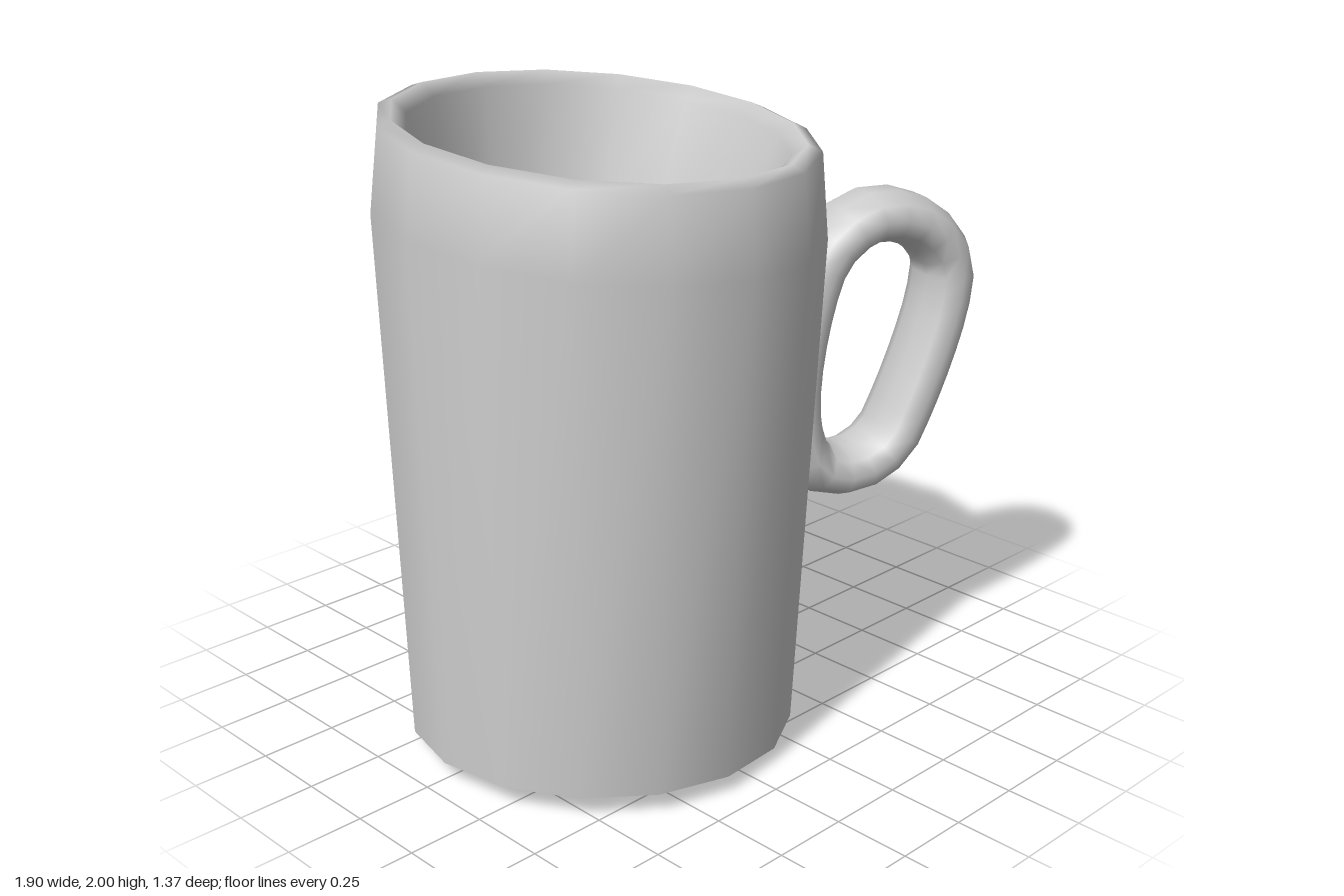
import * as THREE from 'three';

const SIDES = 16;
const PHASE = 0.066;
const grey = () => new THREE.MeshStandardMaterial({ color: 0xcccccc });

// A tilted ring: centre, radius, and height change along x and z
const ring = (x, y, z, r, slopeX, slopeZ) => ({ x, y, z, r, slopeX, slopeZ });

function ringPoints(s) {
  const points = [];
  for (let i = 0; i < SIDES; i++) {
    const a = PHASE + (i / SIDES) * Math.PI * 2;
    const dx = s.r * Math.cos(a);
    const dz = s.r * Math.sin(a);
    points.push(s.x + dx, s.y + dx * s.slopeX + dz * s.slopeZ, s.z + dz);
  }
  return points;
}

function makeMesh(name, positions, index, material) {
  const geometry = new THREE.BufferGeometry();
  geometry.setAttribute('position', new THREE.Float32BufferAttribute(positions, 3));
  geometry.setIndex(index);
  geometry.computeVertexNormals();
  const mesh = new THREE.Mesh(geometry, material);
  mesh.name = name;
  return mesh;
}

// Skin joining successive rings
function loft(name, rings, material) {
  const index = [];
  for (let k = 0; k < rings.length - 1; k++) {
    for (let i = 0; i < SIDES; i++) {
      const j = (i + 1) % SIDES;
      const a = k * SIDES + i, b = k * SIDES + j;
      const c = a + SIDES, d = b + SIDES;
      index.push(a, c, b, b, c, d);
    }
  }
  return makeMesh(name, rings.flatMap(ringPoints), index, material);
}

// Flat disc filling one ring
function disc(name, s, facesUp, material) {
  const index = [];
  for (let i = 0; i < SIDES; i++) {
    const j = (i + 1) % SIDES;
    index.push(SIDES, facesUp ? j : i, facesUp ? i : j);
  }
  return makeMesh(name, [...ringPoints(s), s.x, s.y, s.z], index, material);
}

// Closed loop grip with an oval section, swung towards the front
function makeHandle() {
  const path = [
    [0.34, 0.95], [0.375, 1.3], [0.445, 1.48], [0.59, 1.568], [0.745, 1.53],
    [0.845, 1.41], [0.845, 1.27], [0.735, 0.92], [0.66, 0.78], [0.53, 0.718],
    [0.4, 0.76],
  ].map(([x, y]) => new THREE.Vector3((x - 0.4) / 0.937, y, 0));
  const curve = new THREE.CatmullRomCurve3(path, true);
  const geometry = new THREE.TubeGeometry(curve, 28, 0.088, 10, true);
  geometry.scale(1, 1, 1.58);
  geometry.rotateY(-0.357);
  geometry.translate(0.4, 0, 0.27);
  const handle = new THREE.Mesh(geometry, grey());
  handle.name = 'handle';
  return handle;
}

export function createModel() {
  const mug = new THREE.Group();
  mug.name = 'mug';

  const base = ring(-0.33, 0.036, 0.055, 0.612, -0.05, 0.033);
  const liquid = ring(-0.25, 1.46, -0.09, 0.445, -0.03, -0.1);

  // Outer wall, rounded lip and inner wall
  mug.add(loft('cup', [
    base,
    ring(-0.265, 1.66, 0, 0.686, -0.05, -0.08),
    ring(-0.25, 1.92, -0.01, 0.662, -0.03, -0.1),
    ring(-0.25, 1.937, -0.012, 0.62, -0.03, -0.1),
    ring(-0.25, 1.9, -0.016, 0.575, -0.03, -0.1),
    liquid,
  ], grey()));

  mug.add(disc('bottom', base, false, grey()));
  mug.add(disc('drink', liquid, true, new THREE.MeshStandardMaterial({ color: 0x080808 })));
  mug.add(makeHandle());
  return mug;
}
